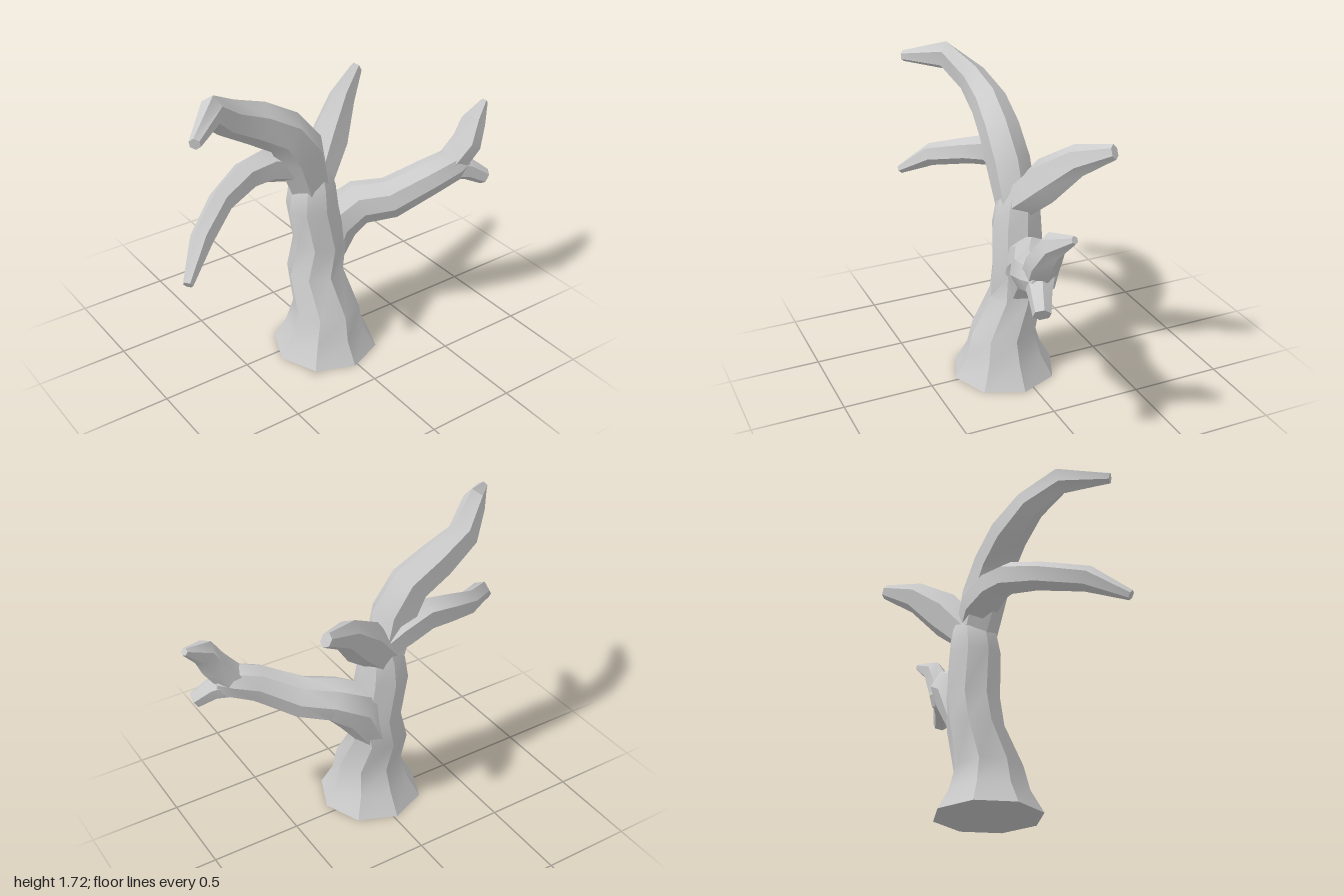
import * as THREE from 'three';
import { toCreasedNormals } from 'three/addons/utils/BufferGeometryUtils.js';

const bark = new THREE.MeshStandardMaterial({ color: 0xcccccc });
const Z = new THREE.Vector3(0, 0, 1);

// Faceted limb through rings [x, y, z, radius in the front plane, radius in depth]
function limb(name, sides, rings, level = false) {
  const centres = rings.map((r) => new THREE.Vector3(r[0], r[1], r[2]));
  const pos = [], index = [], n = rings.length;
  rings.forEach((r, i) => {
    const t = level
      ? new THREE.Vector3(0, 1, 0)
      : centres[Math.min(i + 1, n - 1)].clone().sub(centres[Math.max(i - 1, 0)]).normalize();
    const u = Z.clone().cross(t).normalize();
    const v = t.clone().cross(u);
    for (let j = 0; j < sides; j++) {
      const a = (j / sides) * Math.PI * 2;
      const p = centres[i].clone()
        .addScaledVector(u, r[3] * Math.cos(a))
        .addScaledVector(v, (r[4] ?? r[3]) * Math.sin(a));
      pos.push(p.x, p.y, p.z);
    }
  });
  for (let i = 0; i < n - 1; i++) {
    for (let j = 0; j < sides; j++) {
      const a = i * sides + j, b = i * sides + (j + 1) % sides;
      index.push(a, b, b + sides, a, b + sides, a + sides);
    }
  }
  // End caps
  const last = (n - 1) * sides;
  for (let j = 1; j < sides - 1; j++) {
    index.push(0, j + 1, j, last, last + j, last + j + 1);
  }
  const geo = new THREE.BufferGeometry();
  geo.setAttribute('position', new THREE.Float32BufferAttribute(pos, 3));
  geo.setIndex(index);
  const mesh = new THREE.Mesh(toCreasedNormals(geo, 0.6), bark);
  mesh.name = name;
  return mesh;
}

export function createModel() {
  const tree = new THREE.Group();
  tree.name = 'bareTree';

  // Flared root and slightly crooked trunk
  tree.add(limb('trunk', 8, [
    [-0.02, 0, 0.06, 0.29],
    [-0.02, 0.125, 0.06, 0.22],
    [-0.015, 0.26, 0.065, 0.185],
    [-0.03, 0.46, -0.02, 0.16, 0.15],
    [0.0, 0.63, -0.02, 0.145, 0.15],
    [-0.04, 0.86, -0.03, 0.145, 0.14],
    [-0.035, 0.99, -0.035, 0.125],
    [-0.02, 1.13, -0.04, 0.06],
  ], true));

  // Tall branch arching up to the right and forward
  tree.add(limb('upperBranch', 6, [
    [-0.035, 0.93, -0.035, 0.11],
    [-0.12, 1.2, -0.015, 0.14, 0.115],
    [-0.22, 1.345, -0.01, 0.12, 0.11],
    [-0.38, 1.44, -0.02, 0.115, 0.1],
    [-0.56, 1.53, 0.0, 0.095, 0.08],
    [-0.70, 1.635, 0.1, 0.085, 0.06],
    [-0.89, 1.602, 0.28, 0.03],
  ]));

  // Drooping branch below it
  tree.add(limb('lowerBranch', 6, [
    [0.0, 1.03, -0.05, 0.07],
    [-0.13, 1.115, -0.06, 0.1],
    [-0.29, 1.16, -0.06, 0.1, 0.085],
    [-0.43, 1.145, -0.055, 0.088, 0.075],
    [-0.62, 1.085, 0.01, 0.075, 0.06],
    [-0.82, 1.015, 0.16, 0.065, 0.055],
    [-0.98, 0.885, 0.295, 0.026],
  ]));

  // Short prong leaning back
  tree.add(limb('backProng', 6, [
    [-0.02, 1.0, -0.04, 0.1, 0.11],
    [0.13, 1.165, -0.115, 0.125, 0.095],
    [0.29, 1.32, -0.22, 0.085, 0.065],
    [0.465, 1.41, -0.328, 0.04, 0.03],
  ]));

  // Thick side branch swelling out of the trunk, with a forked end
  const side = new THREE.Group();
  side.name = 'sideBranch';
  side.add(limb('sideBranchStem', 8, [
    [0.02, 0.5, -0.03, 0.1, 0.12],
    [0.11, 0.7, -0.035, 0.15, 0.13],
    [0.25, 0.785, 0.0, 0.122, 0.125],
    [0.4, 0.805, 0.085, 0.115],
    [0.6, 0.915, 0.175, 0.102],
    [0.74, 0.965, 0.21, 0.092],
    [0.81, 0.98, 0.225, 0.055],
  ]));
  side.add(limb('forkUpper', 6, [
    [0.71, 0.955, 0.2, 0.085],
    [0.812, 1.085, 0.225, 0.075, 0.088],
    [0.868, 1.185, 0.205, 0.068],
    [0.985, 1.255, 0.157, 0.02],
  ]));
  side.add(limb('forkLower', 6, [
    [0.72, 0.955, 0.2, 0.085],
    [0.82, 0.92, 0.245, 0.06],
    [0.91, 0.862, 0.278, 0.045],
  ]));
  tree.add(side);

  return tree;
}
